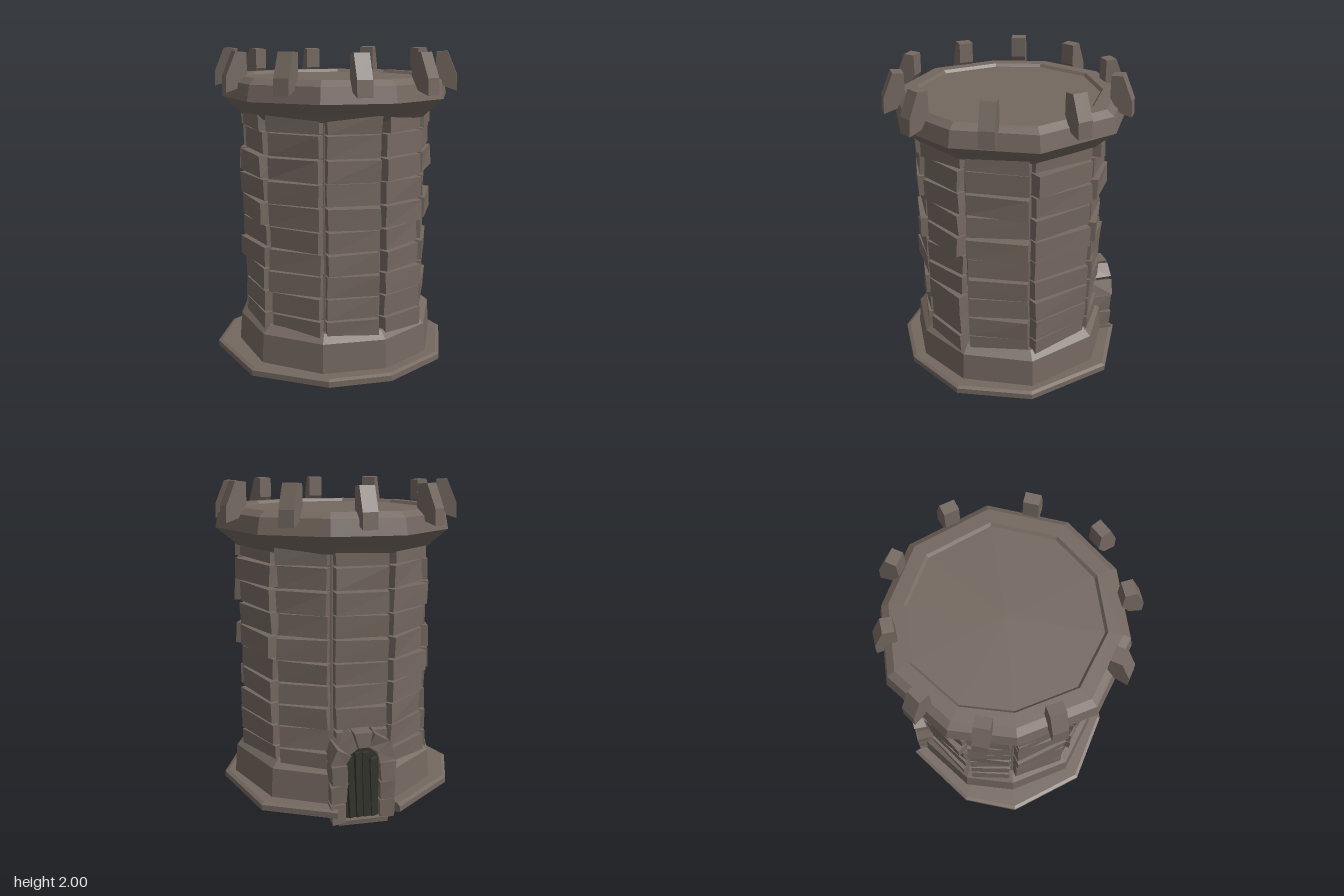
import * as THREE from 'three';

const stone = new THREE.MeshStandardMaterial({ color: 0x746860 });
stone.name = 'stone';
const dark = new THREE.MeshStandardMaterial({ color: 0x33342b });
dark.name = 'dark wood';

// Ten-sided, slightly uneven plan of the tower, as [x, z] at radius 1
const PLAN = [[-0.17, 0.53], [0.18, 0.52], [0.45, 0.32], [0.56, 0.02], [0.46, -0.35],
  [0.11, -0.56], [-0.21, -0.51], [-0.48, -0.31], [-0.56, 0.03], [-0.45, 0.3]]
  .map(([x, z]) => [x / 0.56, z / 0.56]);

// Ground plate outline with a notch for the doorway
const PLATE = [[-0.21, 0.72], [0.28, 0.665], [0.58, 0.43], [0.74, 0.02], [0.6, -0.43], [0.14, -0.75],
  [-0.32, -0.66], [-0.27, -0.55], [-0.53, -0.37], [-0.62, -0.43], [-0.75, 0.08], [-0.64, 0.43]];

const DOOR_ANGLE = THREE.MathUtils.degToRad(219);

let seed = 7;
function rand(a, b) {
  seed = (seed * 16807) % 2147483647;
  return a + (b - a) * seed / 2147483647;
}

function mesh(name, geometry, material, parent) {
  const m = new THREE.Mesh(geometry, material);
  m.name = name;
  parent.add(m);
  return m;
}

// Flat-faced loft through scaled copies of a plan; rings are [y, scale], bottom to top
function loft(plan, rings) {
  const v = [];
  const n = plan.length;
  const at = (r, i) => [plan[i % n][0] * r[1], r[0], plan[i % n][1] * r[1]];
  const first = rings[0], last = rings[rings.length - 1];
  for (let i = 0; i < n; i++) {
    for (let k = 0; k + 1 < rings.length; k++) {
      const a = at(rings[k], i), b = at(rings[k], i + 1);
      const c = at(rings[k + 1], i + 1), d = at(rings[k + 1], i);
      v.push(...a, ...b, ...c, ...a, ...c, ...d);
    }
    v.push(...at(first, i + 1), ...at(first, i), 0, first[0], 0);
    v.push(...at(last, i), ...at(last, i + 1), 0, last[0], 0);
  }
  const g = new THREE.BufferGeometry();
  g.setAttribute('position', new THREE.Float32BufferAttribute(v, 3));
  g.computeVertexNormals();
  return g;
}

// Rough-hewn block: a box whose corners are moved by rule(x, y, z signs) -> offset
function block(w, h, d, rule) {
  const g = new THREE.BoxGeometry(w, h, d).toNonIndexed();
  const p = g.attributes.position;
  const offsets = {};
  for (let i = 0; i < p.count; i++) {
    const s = [Math.sign(p.getX(i)), Math.sign(p.getY(i)), Math.sign(p.getZ(i))];
    const o = offsets[s] ??= rule(...s);
    p.setXYZ(i, p.getX(i) + o[0], p.getY(i) + o[1], p.getZ(i) + o[2]);
  }
  g.computeVertexNormals();
  return g;
}

const hewn = (amount) => () => [rand(-amount, amount), rand(-amount, amount), rand(-amount, amount)];

function addBricks(tower) {
  const bricks = new THREE.Group();
  bricks.name = 'wallBricks';
  tower.add(bricks);
  const levels = [0.28, 0.42, 0.56, 0.7, 0.835, 0.97, 1.11, 1.25, 1.39, 1.53, 1.66];
  for (let row = 0; row + 1 < levels.length; row++) {
    const h = levels[row + 1] - levels[row] - 0.004;
    const rowRadius = row === 5 || row === 7 ? 0.612 : 0.6;
    for (let i = 0; i < 10; i++) {
      const a = PLAN[i], b = PLAN[(i + 1) % 10];
      const r = rowRadius + rand(-0.012, 0.016);
      const w = Math.hypot(b[0] - a[0], b[1] - a[1]) * 0.6 - 0.034;
      const yaw = rand(-0.016, 0.016);
      // Outer face is slightly smaller and leans to one side
      const g = block(w, h, 0.1, (x, y, z) => (z > 0
        ? [-x * rand(0.002, 0.012), -y * rand(0.001, 0.007), x * yaw + rand(-0.005, 0.005)]
        : [0, 0, 0]));
      g.translate(0, 0, -0.05);
      const m = mesh('brick', g, stone, bricks);
      m.position.set((a[0] + b[0]) / 2 * r, (levels[row] + levels[row + 1]) / 2, (a[1] + b[1]) / 2 * r);
      m.rotation.y = Math.atan2(-(b[1] - a[1]), b[0] - a[0]);
    }
  }
}

function addMerlons(tower) {
  const places = [[0.03, 0.68], [0.42, 0.55], [0.68, 0.25], [0.67, -0.19], [0.38, -0.58],
    [-0.05, -0.69], [-0.42, -0.51], [-0.67, -0.16], [-0.65, 0.22], [-0.4, 0.52]];
  // Claw-like side profile: [outward, y]
  const side = new THREE.Shape([[-0.015, 1.78], [0.065, 1.755], [0.06, 1.85], [0, 1.99],
    [-0.065, 1.985], [-0.065, 1.86]].map(([x, y]) => new THREE.Vector2(x, y)));
  for (const [x, z] of places) {
    const g = new THREE.ExtrudeGeometry(side, { depth: 0.09, bevelEnabled: false });
    g.translate(0, 0, -0.045);
    g.rotateY(-Math.PI / 2);
    const m = mesh('merlon', g, stone, tower);
    m.position.set(x, rand(-0.01, 0.01), z);
    m.rotation.y = Math.atan2(x, z) + rand(-0.08, 0.08);
  }
}

function addDoorway(tower) {
  const door = new THREE.Group();
  door.name = 'doorway';
  door.rotation.y = DOOR_ANGLE;
  tower.add(door);

  // Arched leaf with raised, leaning planks
  const arch = new THREE.Shape();
  arch.moveTo(-0.1, 0.03);
  arch.lineTo(0.1, 0.03);
  arch.lineTo(0.1, 0.37);
  arch.absarc(0, 0.37, 0.1, 0, Math.PI, false);
  const leaf = new THREE.ExtrudeGeometry(arch, { depth: 0.085, bevelEnabled: false, curveSegments: 6 });
  mesh('doorLeaf', leaf, dark, door).position.z = 0.56;
  for (let i = 0; i < 4; i++) {
    const h = i === 0 || i === 3 ? 0.37 : 0.41;
    const m = mesh('doorPlank', block(0.04, h, 0.02, hewn(0.004)), dark, door);
    m.position.set(-0.069 + i * 0.046, 0.035 + h / 2, 0.648);
    m.rotation.set(0, 0.15, 0.04);
  }

  // Stacked jamb stones on both sides
  for (const s of [-1, 1]) {
    for (let i = 0; i < 3; i++) {
      const m = mesh('jambStone', block(0.095, 0.116, 0.17, hewn(0.009)), stone, door);
      m.position.set(s * 0.147, 0.075 + i * 0.121, 0.592);
    }
  }
  // Wedge stones around the arch
  for (let i = 0; i < 5; i++) {
    const t = (i - 2) * Math.PI / 5;
    const g = block(0.085, 0.095, 0.17, (x, y) => [x * y * 0.012 + rand(-0.006, 0.006), rand(-0.008, 0.008), rand(-0.01, 0.01)]);
    const m = mesh('archStone', g, stone, door);
    m.position.set(Math.sin(t) * 0.145, 0.38 + Math.cos(t) * 0.145, 0.588);
    m.rotation.z = -t;
  }
  // Doorstep
  mesh('doorstep', block(0.3, 0.03, 0.13, () => [0, 0, rand(-0.01, 0.01)]), stone, door).position.set(0, 0.015, 0.615);
}

export function createModel() {
  const tower = new THREE.Group();
  tower.name = 'stoneTower';

  // Ground plate, dark underside and sloped footing
  mesh('groundPlate', loft(PLATE, [[0.055, 0.96], [0.07, 1], [0.105, 1], [0.115, 0.97]]), stone, tower);
  mesh('underside', loft(PLAN, [[0.04, 0.6], [0.06, 0.6]]), dark, tower);
  mesh('footing', loft(PLAN, [[0.1, 0.65], [0.295, 0.635], [0.34, 0.58]]), stone, tower);

  // Wall core and the bricks over it
  mesh('wallCore', loft(PLAN, [[0.3, 0.55], [1.66, 0.55]]), stone, tower);
  addBricks(tower);

  // Overhanging parapet, its rim and the sunken roof floor
  mesh('parapet', loft(PLAN, [[1.6, 0.595], [1.63, 0.625], [1.71, 0.72], [1.805, 0.7],
    [1.838, 0.655], [1.84, 0.57], [1.822, 0.555]]), stone, tower);
  addMerlons(tower);
  addDoorway(tower);
  return tower;
}
